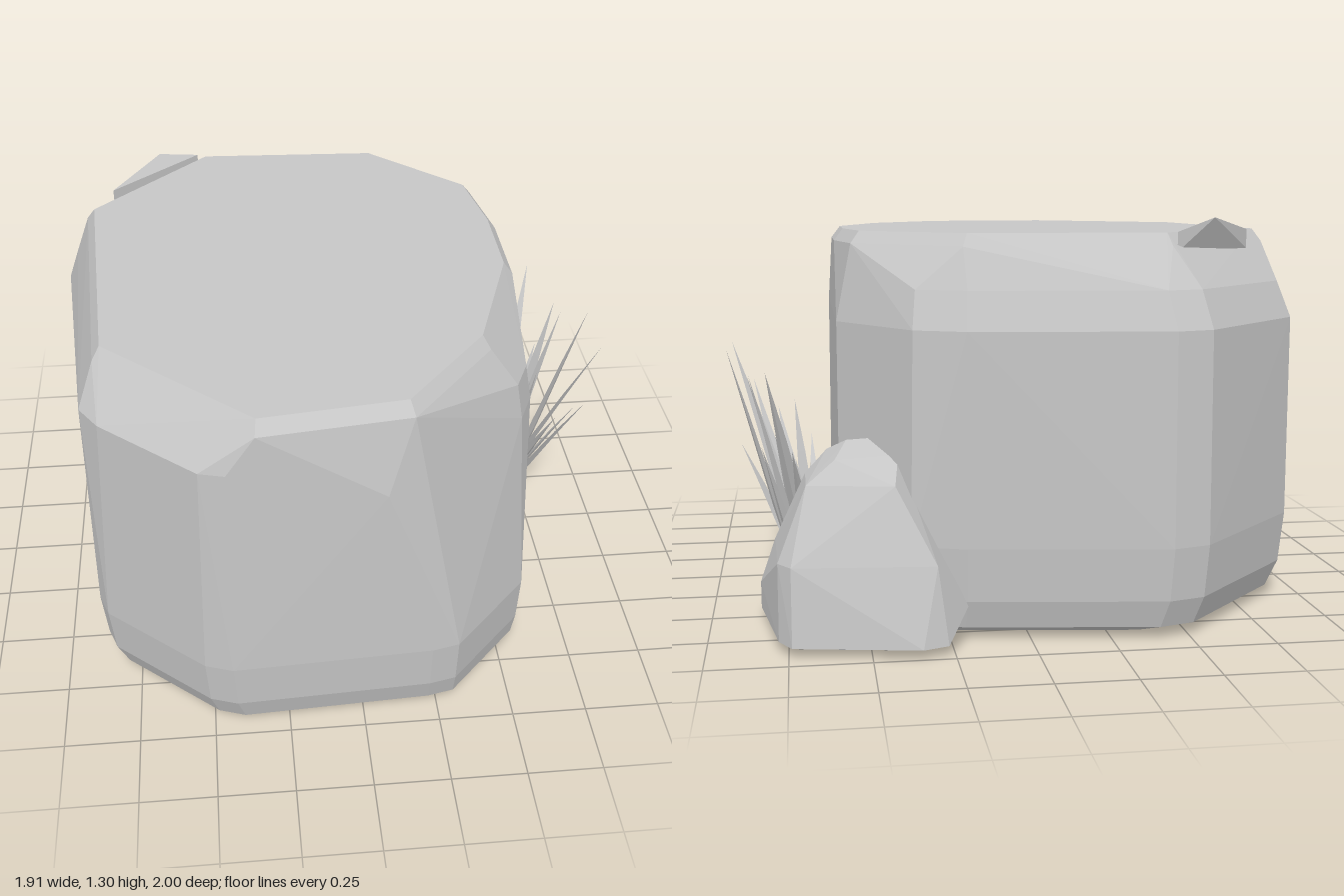
import * as THREE from 'three';
import { ConvexGeometry } from 'three/addons/geometries/ConvexGeometry.js';

const stone = new THREE.MeshStandardMaterial({ color: 0xc6c6c6 });
stone.name = 'stone grey';
stone.flatShading = true;
stone.side = THREE.DoubleSide;

// Horizontal ring: an outline of x, z pairs scaled about the boulder's axis and shifted
function ring(outline, y, scale = 1, dx = 0, dz = 0) {
  const cx = -0.19, cz = 0.02, points = [];
  for (let i = 0; i < outline.length; i += 2)
    points.push(new THREE.Vector3(
      cx + (outline[i] - cx) * scale + dx, y, cz + (outline[i + 1] - cz) * scale + dz));
  return points;
}

// Faceted rock: convex hull around its rings
function rock(name, ...rings) {
  const mesh = new THREE.Mesh(new ConvexGeometry(rings.flat()), stone);
  mesh.name = name;
  return mesh;
}

function boulder() {
  const lower = [-0.955, -0.4, -0.93, -0.53, -0.55, -0.92, -0.43, -0.955, 0.2, -0.87, 0.37, -0.81,
    0.58, -0.5, 0.58, 0.6, 0.57, 0.68, 0.31, 0.95, 0.22, 0.97, -0.43, 1, -0.52, 0.97, -0.84, 0.7, -0.87, 0.62];
  const upper = [-0.96, -0.4, -0.93, -0.53, -0.55, -0.91, -0.43, -0.945, 0.2, -0.87, 0.36, -0.8,
    0.58, -0.47, 0.58, 0.52, 0.53, 0.63, 0.14, 0.95, 0.06, 0.98];
  const shoulder = [-0.86, 0.62, -0.8, 0.71, -0.5, 0.97, -0.42, 0.99];
  const top = [-0.87, -0.38, -0.45, -0.79, 0.2, -0.76, 0.53, -0.45, 0.575, -0.17,
    0.575, 0.15, 0.42, 0.6, 0.14, 0.93, -0.33, 0.985, -0.81, 0.55];
  return rock('boulder',
    ring(lower, 0, 0.88, 0.05, 0.03),
    ring(lower, 0.04, 0.955, 0.02),
    ring(lower, 0.13, 0.985, 0.005),
    ring(lower, 0.3),
    ring(upper, 0.97),
    ring(upper, 1.09, 0.96, 0.01, 0.01),
    ring(shoulder, 1.09),
    ring(top, 1.22),
    ring(top, 1.26, 0.96));
}

// Thin raised chip on the back left edge of the top
function topChip() {
  return rock('topChip',
    ring([-0.78, -0.5, -0.47, -0.77], 1.2),
    ring([-0.78, -0.5, -0.47, -0.77], 1.262),
    ring([-0.61, -0.7], 1.305));
}

// Small rock leaning on the back right corner
function smallRock() {
  return rock('smallRock',
    ring([0.3, -0.88, 0.7, -0.85, 0.8, -0.52, 0.65, -0.44, 0.3, -0.6], 0),
    ring([0.27, -0.97, 0.35, -1, 0.74, -0.93, 0.78, -0.86, 0.84, -0.49, 0.66, -0.4, 0.22, -0.7], 0.03),
    ring([0.84, -0.5, 0.2, -0.87], 0.12),
    ring([0.78, -0.84, 0.74, -0.9, 0.79, -0.52, 0.67, -0.37, 0.3, -0.94], 0.27),
    ring([0.69, -0.8, 0.69, -0.6, 0.42, -0.85, 0.64, -0.52], 0.5),
    ring([0.6, -0.76, 0.62, -0.57, 0.4, -0.7], 0.57),
    ring([0.42, -0.6, 0.56, -0.64], 0.61));
}

// Folded grass leaf, widest at a third of its length and bending outward to the tip
function grassBlade(base, tip, width) {
  const middle = base.clone().lerp(tip, 0.5);
  middle.y += 0.03;
  const curve = new THREE.QuadraticBezierCurve3(base, middle, tip);
  const out = new THREE.Vector3(tip.x - base.x, 0, tip.z - base.z).normalize();
  const side = new THREE.Vector3(-out.z, 0, out.x);
  const positions = [], index = [];
  [[0, 0.55], [0.35, 1], [0.7, 0.55], [1, 0]].forEach(([t, w], i) => {
    const p = curve.getPoint(t), half = width * w / 2;
    for (const [s, o] of [[-1, 0], [0, 0.45], [1, 0]])
      positions.push(...p.clone().addScaledVector(side, s * half).addScaledVector(out, o * half));
    if (i < 3) for (let k = 0; k < 3; k++) {
      const a = i * 3 + k, b = i * 3 + (k + 1) % 3;
      index.push(a, b, a + 3, b, b + 3, a + 3);
    }
  });
  const geometry = new THREE.BufferGeometry();
  geometry.setAttribute('position', new THREE.Float32BufferAttribute(positions, 3));
  geometry.setIndex(index);
  geometry.computeVertexNormals();
  const mesh = new THREE.Mesh(geometry, stone);
  mesh.name = 'grassBlade';
  return mesh;
}

// Tuft of blades fanning out from one root
function grassTuft() {
  const tuft = new THREE.Group();
  tuft.name = 'grassTuft';
  const tips = [
    [0.66, 0.48, 0.22], [0.78, 0.6, 0.15], [0.87, 0.7, 0.2], [0.94, 0.85, 0.08],
    [0.91, 0.5, -0.05], [0.95, 0.85, -0.16], [0.88, 0.78, -0.28], [0.87, 0.78, -0.35],
    [0.83, 0.55, -0.42], [0.81, 0.82, -0.58], [0.73, 0.57, -0.6], [0.68, 0.5, -0.55],
    [0.72, 0.65, -0.02], [0.79, 0.56, -0.2], [0.67, 0.48, -0.32], [0.72, 0.45, -0.12],
  ];
  tips.forEach(([x, y, z], i) => {
    const angle = Math.atan2(z + 0.22, x - 0.64), r = 0.035 + 0.025 * (i % 3);
    const base = new THREE.Vector3(0.645 + Math.cos(angle) * r * 0.7, 0, -0.22 + Math.sin(angle) * r);
    tuft.add(grassBlade(base, new THREE.Vector3(x, y, z), 0.055 + 0.01 * (i % 2)));
  });
  return tuft;
}

export function createModel() {
  const model = new THREE.Group();
  model.name = 'boulderWithGrass';
  model.add(boulder(), topChip(), smallRock(), grassTuft());
  return model;
}
